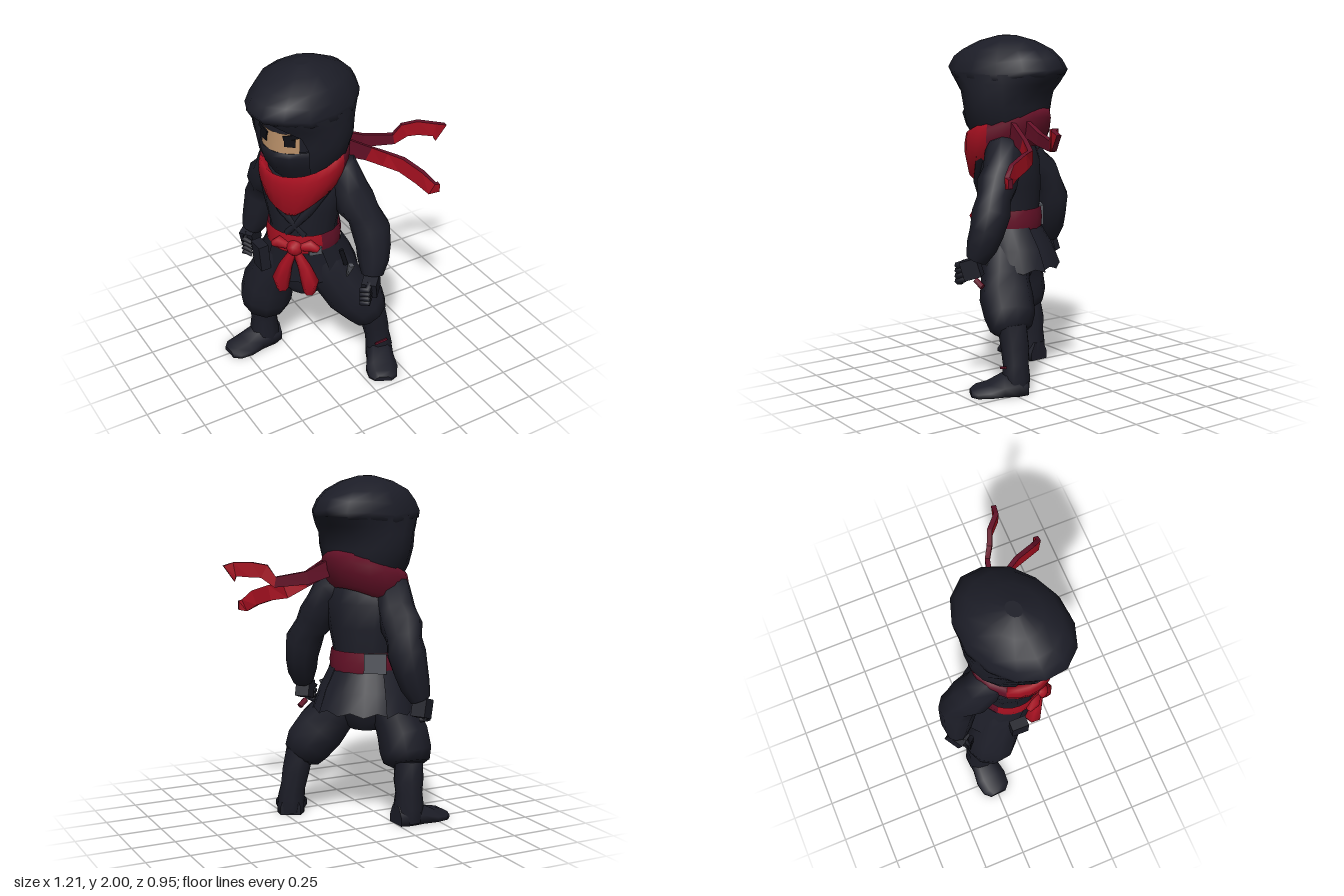
import * as THREE from 'three';

const mat = (name, color, side = THREE.FrontSide) => {
  const m = new THREE.MeshStandardMaterial({ color, side });
  m.name = name;
  return m;
};
const V = (x, y, z) => new THREE.Vector3(x, y, z);

// Skin a list of point rings; rings run counter-clockwise around the advance direction
function loft(rings, closed = true) {
  const n = rings[0].length, pos = [], idx = [];
  rings.forEach(r => r.forEach(p => pos.push(p.x, p.y, p.z)));
  for (let i = 0; i < rings.length - 1; i++)
    for (let j = 0; j < (closed ? n : n - 1); j++) {
      const a = i * n + j, b = i * n + (j + 1) % n;
      idx.push(a, b, b + n, a, b + n, a + n);
    }
  if (closed) [0, rings.length - 1].forEach((k, end) => {
    const start = pos.length / 3, c = V(0, 0, 0);
    rings[k].forEach(p => { c.add(p); pos.push(p.x, p.y, p.z); });
    c.divideScalar(n);
    pos.push(c.x, c.y, c.z);
    for (let j = 0; j < n; j++) {
      const a = start + j, b = start + (j + 1) % n;
      end ? idx.push(a, b, start + n) : idx.push(b, a, start + n);
    }
  });
  const g = new THREE.BufferGeometry();
  g.setAttribute('position', new THREE.Float32BufferAttribute(pos, 3));
  g.setIndex(idx);
  g.computeVertexNormals();
  return g;
}

// Horizontal ring or arc; angle 0 is forward (+z), increasing toward +x
function ring(y, rx, rz, cz = 0, n = 14, from = 0, to = Math.PI * 2, dy = () => 0) {
  const full = to - from > 6.28;
  return Array.from({ length: n }, (_, j) => {
    const t = from + (to - from) * j / (full ? n : n - 1);
    return V(rx * Math.sin(t), y + dy(t, j), cz + rz * Math.cos(t));
  });
}

// Tapered limb through [x, y, z, radius] points
function limb(pts, n = 9) {
  const P = pts.map(p => V(p[0], p[1], p[2]));
  return loft(P.map((p, i) => {
    const d = P[Math.min(i + 1, P.length - 1)].clone().sub(P[Math.max(i - 1, 0)]).normalize();
    const a = V(0.71, 0, 0.71).addScaledVector(d, -d.dot(V(0.71, 0, 0.71))).normalize();
    const b = d.clone().cross(a);
    return Array.from({ length: n }, (_, j) => {
      const t = j / n * Math.PI * 2;
      return p.clone().addScaledVector(a, Math.cos(t) * pts[i][3]).addScaledVector(b, Math.sin(t) * pts[i][3]);
    });
  }));
}

// Upright cloth strip through [x, y, z, height] points; upper edge and first segments use material 1
function ribbon(pts, darkSegments) {
  const P = pts.map(p => V(p[0], p[1], p[2]));
  const g = loft(P.map((p, i) => {
    const d = P[Math.min(i + 1, P.length - 1)].clone().sub(P[Math.max(i - 1, 0)]).normalize();
    const s = V(d.z, 0, -d.x).normalize().multiplyScalar(0.014);
    const u = d.clone().cross(s).normalize().multiplyScalar(pts[i][3] / 2);
    return [[1, 1], [-1, 1], [-1, -1], [1, -1]].map(([a, b]) =>
      p.clone().addScaledVector(s, a).addScaledVector(u, b));
  })).toNonIndexed();
  g.computeVertexNormals();
  for (let i = 0; i < P.length - 1; i++) {
    g.addGroup(i * 24, 6, 1);
    g.addGroup(i * 24 + 6, 18, i < darkSegments ? 1 : 0);
  }
  g.addGroup((P.length - 1) * 24, 24, 1);
  return g;
}

// Shoe from heel to toe with a flat sole
function foot(heel, toe) {
  const h = V(heel[0], 0, heel[1]), d = V(toe[0], 0, toe[1]).sub(h);
  const s = V(d.z, 0, -d.x).normalize();
  const sections = [[-0.1, 0.06, 0.11], [0.1, 0.08, 0.13], [0.4, 0.08, 0.11], [0.7, 0.095, 0.065], [0.95, 0.085, 0.05], [1.07, 0.05, 0.03]];
  return loft(sections.map(([t, w, y]) => [[1, 0], [1, 0.45], [0.55, 1], [-0.55, 1], [-1, 0.45], [-1, 0]].map(([a, b]) =>
    h.clone().addScaledVector(d, t).addScaledVector(s, a * w).add(V(0, b * y, 0)))));
}

export function createModel() {
  const model = new THREE.Group();
  const cloth = mat('dark cloth', 0x1c1d27), open = mat('dark cloth two-sided', 0x1c1d27, THREE.DoubleSide);
  const red = mat('red cloth', 0xa51020, THREE.DoubleSide), maroon = mat('maroon cloth', 0x641127, THREE.DoubleSide);
  const skin = mat('skin', 0xb88f68), black = mat('black', 0x0e0f15), metal = mat('grey metal', 0x54575e);
  const add = (parent, name, geo, m, x = 0, y = 0, z = 0, rx = 0, ry = 0, rz = 0) => {
    const o = new THREE.Mesh(geo, m);
    o.name = name;
    o.position.set(x, y, z);
    o.rotation.set(rx, ry, rz);
    parent.add(o);
  };
  const turned = (name, x, z, deg) => {
    const g = new THREE.Group();
    g.name = name;
    g.position.set(x, 0, z);
    g.rotation.y = THREE.MathUtils.degToRad(deg);
    model.add(g);
    return g;
  };
  const box = (x, y, z) => new THREE.BoxGeometry(x, y, z);
  // Band around the body: bright in front, dark behind
  const band = (parent, name, rows, from, to, dy) => {
    for (const [label, a, b, m] of [['Front', from, to, red], ['Back', to, from + Math.PI * 2, maroon]])
      add(parent, name + label, loft(rows.map(([y, x, z, c], i) => ring(y, x, z, c, 11, a, b, t => dy(t, i))), false), m);
  };

  // Head, turned further than the body
  const head = turned('head', -0.19, 0, -65);
  add(head, 'hoodTop', loft([[1.745, 0.255, 0.3], [1.765, 0.279, 0.345], [1.8, 0.274, 0.368], [1.86, 0.256, 0.33],
    [1.92, 0.22, 0.27], [1.97, 0.14, 0.165], [2.0, 0.04, 0.05]].map(([y, a, b]) =>
    ring(y, a, b, 0, 14, 0, Math.PI * 2, (t, j) => y < 1.9 ? 0.012 * Math.cos(2 * t) + (j % 2) * 0.01 : 0))), cloth);
  add(head, 'hoodSides', loft([[1.4, 0.2, 0.2, 0.8], [1.5, 0.255, 0.235, 0.72], [1.6, 0.286, 0.245, 0.66], [1.68, 0.286, 0.265, 0.56],
    [1.73, 0.282, 0.31, 0.4], [1.785, 0.276, 0.352, 0.2]].map(
    ([y, a, b, e]) => ring(y, a, b, 0, 15, e, Math.PI * 2 - e)), false), open);
  add(head, 'mask', loft([ring(1.38, 0.16, 0.19), ring(1.48, 0.2, 0.235, 0.02), ring(1.55, 0.208, 0.25, 0.03),
    ring(1.575, 0.2, 0.235, 0.03)]), cloth);
  add(head, 'innerHood', loft([ring(1.55, 0.19, 0.222, 0.03), ring(1.76, 0.19, 0.22, 0.03)]), cloth);
  add(head, 'face', loft([ring(1.56, 0.195, 0.23, 0.03, 9, -0.7, 0.7), ring(1.69, 0.195, 0.225, 0.03, 9, -0.7, 0.7)], false), skin);
  for (const s of [-1, 1]) {
    add(head, 'eye', box(0.06, 0.045, 0.009), black, s * 0.085, 1.64, 0.236, 0, s * 0.42, 0);
    add(head, 'brow', box(0.085, 0.025, 0.009), black, s * 0.09, 1.675, 0.234, 0, s * 0.42, s * 0.25);
  }

  // Scarf collar, low and pointed in front, high behind
  const collar = turned('collar', -0.185, 0, -75);
  band(collar, 'scarf', [[1.28, 0.19, 0.19, 0.01], [1.31, 0.23, 0.22, 0.01], [1.39, 0.258, 0.245, 0.005], [1.45, 0.26, 0.248, 0],
    [1.5, 0.25, 0.24, 0], [1.46, 0.21, 0.2, 0]], -0.75, 1.8,
  (t, i) => -0.09 * Math.cos(t) - (i < 2 ? 0.055 * Math.max(0, Math.cos(t - 0.45)) ** 6 : 0));
  add(model, 'scarfTail', ribbon([[-0.02, 1.5, 0.02, 0.1], [0.17, 1.43, 0.03, 0.075], [0.35, 1.41, 0.075, 0.06], [0.4, 1.47, 0.11, 0.08],
    [0.47, 1.48, 0.14, 0.085], [0.54, 1.48, 0.205, 0.08], [0.575, 1.455, 0.212, 0.11]], 2), [red, maroon]);
  add(model, 'scarfTail', ribbon([[0, 1.48, 0.11, 0.1], [0.15, 1.4, 0.125, 0.08], [0.25, 1.345, 0.15, 0.085], [0.31, 1.33, 0.23, 0.09],
    [0.36, 1.29, 0.34, 0.09], [0.4, 1.24, 0.405, 0.075], [0.44, 1.24, 0.41, 0.05]], 1), [red, maroon]);

  // Torso, lapels and belt
  const body = turned('body', -0.19, -0.01, -45);
  add(body, 'torso', loft([[0.86, 0.195, 0.175], [1.0, 0.195, 0.178], [1.14, 0.225, 0.188], [1.28, 0.25, 0.18], [1.37, 0.22, 0.15],
    [1.45, 0.13, 0.12]].map(([y, a, b]) => ring(y, a, b))), cloth);
  for (const s of [-1, 1])
    add(body, 'lapel', limb([[s * 0.17, 1.32, 0.13, 0.035], [s * 0.07, 1.16, 0.172, 0.03], [-s * 0.05, 1.0, 0.165, 0.02]], 6), cloth);
  band(body, 'belt', [[0.885, 0.212, 0.19], [0.945, 0.218, 0.195], [1.005, 0.208, 0.187]], -1.5, 0.75, () => 0);
  add(body, 'beltPlate', box(0.13, 0.115, 0.03), metal, -0.105, 0.945, -0.165, 0, 0.28, 0);
  add(body, 'beltClip', box(0.075, 0.045, 0.02), metal, 0.115, 0.91, 0.172, 0, 0.55, 0);
  add(body, 'beltKnot', new THREE.IcosahedronGeometry(0.05, 1), red, 0, 0.925, 0.185);
  for (const s of [-1, 1]) {
    add(body, 'beltLoop', limb([[s * 0.03, 0.93, 0.185, 0.022], [s * 0.09, 0.95, 0.185, 0.035], [s * 0.13, 0.92, 0.17, 0.02]], 7), red);
    add(body, 'beltEnd', limb([[s * 0.01, 0.9, 0.19, 0.022], [s * 0.055, 0.8, 0.19, 0.038], [s * 0.085, 0.7, 0.185, 0.052],
      [s * 0.08, 0.62, 0.18, 0.034]], 6), red);
  }

  // Flared tunic skirt in overlapping panels
  for (let k = 0; k < 4; k++) {
    const a = k * Math.PI / 2 - 0.83, b = a + 1.66, o = (k % 2) * 0.015;
    add(body, 'skirtPanel', loft([[0.65, 0.285, 0.236, -0.066], [0.78, 0.25, 0.212, -0.04], [0.9, 0.2, 0.18, 0]].map(([y, x, z, c], i) =>
      ring(y, x + o, z + o, c, 7, a, b, (t, j) => i ? 0 : (j % 2) * 0.025)), false), open);
  }
  add(body, 'hips', loft([ring(0.53, 0.1, 0.09), ring(0.59, 0.16, 0.13), ring(0.72, 0.2, 0.165, -0.01), ring(0.9, 0.19, 0.17)]), cloth);
  add(body, 'pouch', box(0.1, 0.16, 0.06), cloth, -0.215, 0.81, 0.145, 0.1, -0.8, 0.1);

  // Throwing knife hanging at the left hip
  add(body, 'knifeHandle', new THREE.CylinderGeometry(0.014, 0.014, 0.1, 6), black, 0.255, 0.83, 0.08, 0, 0, 0.3);
  add(body, 'knifeBlade', new THREE.ConeGeometry(0.022, 0.11, 4), metal, 0.285, 0.73, 0.08, Math.PI, 0, 0.3);

  // Arms with loose sleeves, forearm wraps and fists
  const arms = {
    left: [[-0.1, 1.37, 0.08, 0.085], [-0.03, 1.35, 0.13, 0.112], [0.005, 1.24, 0.175, 0.108], [0.02, 1.17, 0.215, 0.118], [0.05, 1.1, 0.255, 0.098],
      [0.075, 1.02, 0.29, 0.112], [0.075, 0.92, 0.32, 0.1], [0.06, 0.84, 0.345, 0.09], [0.04, 0.76, 0.37, 0.062]],
    right: [[-0.26, 1.37, -0.08, 0.085], [-0.275, 1.35, -0.16, 0.112], [-0.275, 1.24, -0.22, 0.11], [-0.27, 1.17, -0.285, 0.122], [-0.26, 1.1, -0.33, 0.102],
      [-0.26, 1.02, -0.36, 0.112], [-0.28, 0.92, -0.375, 0.1], [-0.3, 0.84, -0.388, 0.088], [-0.33, 0.76, -0.4, 0.06]],
  };
  for (const side of ['left', 'right']) {
    add(model, side + 'Arm', limb(arms[side]), cloth);
    const hand = turned(side + 'Hand', ...(side === 'left' ? [0.02, 0.39, -45] : [-0.34, -0.405, -55]));
    add(hand, 'palm', box(0.085, 0.11, 0.1), cloth, 0, 0.71, 0, 0.3);
    for (let i = 0; i < 4; i++)
      add(hand, 'finger', limb([[0, 0.74 - i * 0.03, 0.04, 0.02], [0, 0.725 - i * 0.03, 0.08, 0.021],
        [side === 'left' ? -0.045 : 0.045, 0.71 - i * 0.03, 0.07, 0.016]], 6), cloth);
  }
  add(model, 'hiltWrap', new THREE.CylinderGeometry(0.018, 0.018, 0.06, 6), maroon, 0.05, 0.625, 0.36, 0.4, 0, 0.9);

  // Baggy trousers gathered below the knee, boots and shoes
  add(model, 'rightTrouser', limb([[-0.26, 0.84, -0.08, 0.12], [-0.29, 0.72, -0.115, 0.145], [-0.32, 0.6, -0.15, 0.142], [-0.34, 0.52, -0.18, 0.155],
    [-0.35, 0.42, -0.2, 0.158], [-0.35, 0.35, -0.215, 0.14], [-0.345, 0.325, -0.23, 0.08]], 10), cloth);
  add(model, 'leftTrouser', limb([[-0.14, 0.84, 0.05, 0.12], [-0.095, 0.72, 0.085, 0.145], [-0.035, 0.6, 0.125, 0.142], [0.025, 0.51, 0.158, 0.155],
    [0.095, 0.42, 0.182, 0.146], [0.13, 0.355, 0.198, 0.12], [0.15, 0.33, 0.2, 0.07]], 10), cloth);
  add(model, 'rightBoot', limb([[-0.345, 0.36, -0.25, 0.085], [-0.335, 0.25, -0.265, 0.088], [-0.335, 0.18, -0.27, 0.08],
    [-0.335, 0.1, -0.27, 0.09], [-0.335, 0.01, -0.27, 0.085]]), cloth);
  add(model, 'leftBoot', limb([[0.145, 0.38, 0.2, 0.085], [0.175, 0.25, 0.2, 0.082], [0.19, 0.16, 0.205, 0.075],
    [0.2, 0.09, 0.21, 0.082], [0.2, 0.01, 0.21, 0.075]]), cloth);
  add(model, 'bootStrap', box(0.08, 0.014, 0.008), maroon, 0.17, 0.15, 0.281, 0, -0.2, 0.25);
  add(model, 'rightShoe', foot([-0.28, -0.27], [-0.575, -0.25]), cloth);
  add(model, 'leftShoe', foot([0.215, 0.18], [0.095, 0.43]), cloth);
  return model;
}
